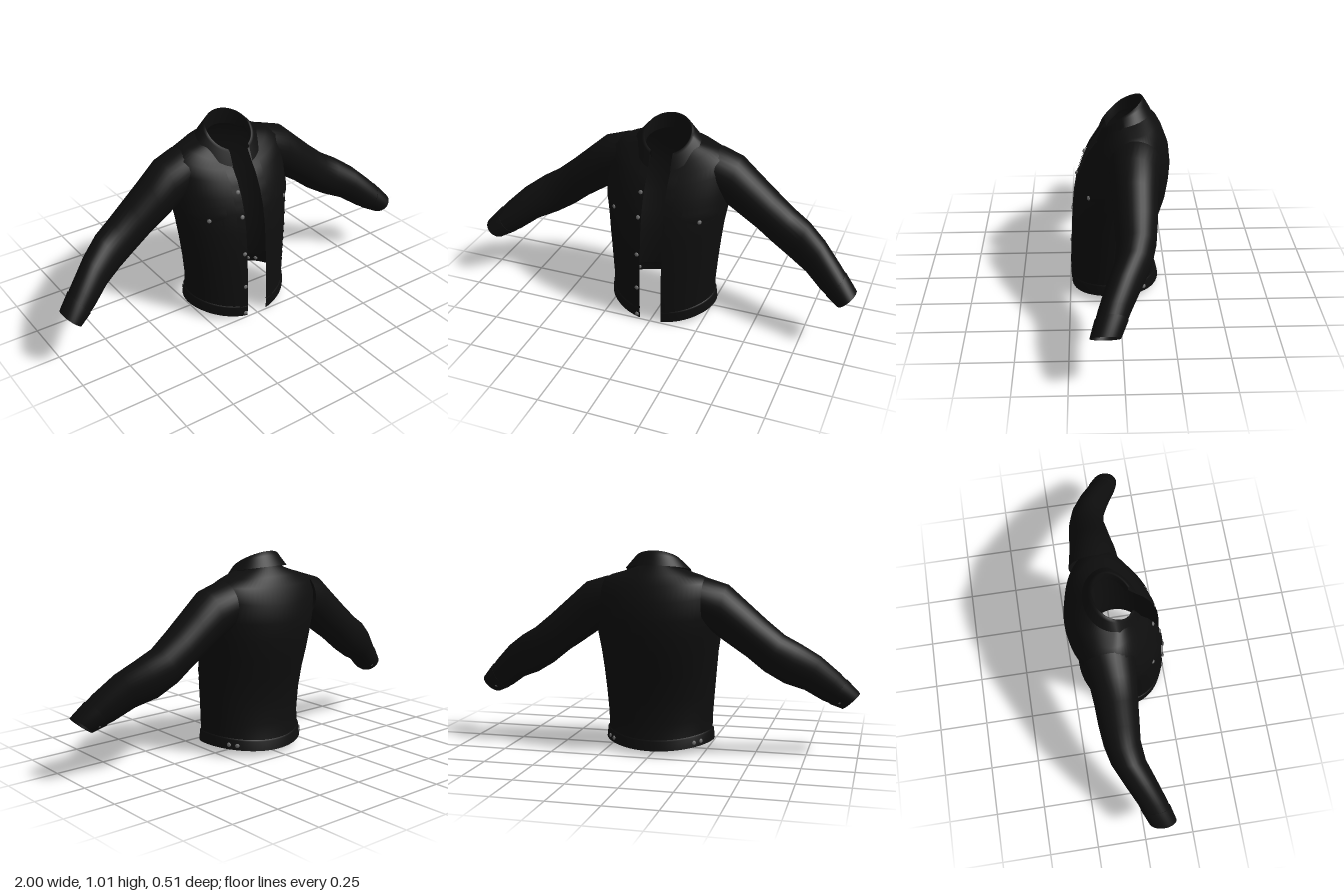
import * as THREE from 'three';
import { mergeVertices } from 'three/addons/utils/BufferGeometryUtils.js';

const fabric = new THREE.MeshStandardMaterial({ color: 0x0e0e0e, side: THREE.DoubleSide });
fabric.name = 'black fabric';
const metal = new THREE.MeshStandardMaterial({ color: 0x6c6c6c });
metal.name = 'grey metal';

const V = (x, y, z) => new THREE.Vector3(x, y, z);
const EDGE = 0.057; // half width of the open front

// Horizontal body rings: y at front, side, back; half width; z at front, back, widest point
const BODY = [
  [0.005, 0.055, 0.03, 0.28, 0.245, -0.205, 0.03],
  [0.06, 0.105, 0.075, 0.275, 0.25, -0.195, 0.03],
  [0.066, 0.11, 0.082, 0.268, 0.247, -0.19, 0.03],
  [0.15, 0.18, 0.16, 0.27, 0.247, -0.176, 0.03],
  [0.28, 0.3, 0.28, 0.28, 0.241, -0.18, 0.025],
  [0.4, 0.41, 0.4, 0.29, 0.235, -0.205, 0.02],
  [0.5, 0.51, 0.5, 0.3, 0.225, -0.235, 0.01],
  [0.6, 0.6, 0.6, 0.315, 0.207, -0.25, 0],
  [0.68, 0.7, 0.68, 0.32, 0.18, -0.255, -0.03],
  [0.75, 0.8, 0.77, 0.315, 0.145, -0.245, -0.055],
  [0.79, 0.862, 0.85, 0.295, 0.115, -0.215, -0.06],
  [0.82, 0.892, 0.9, 0.23, 0.095, -0.19, -0.05],
  [0.84, 0.92, 0.95, 0.13, 0.08, -0.14, -0.02],
];

// Collar rings: inner stand, fold, and the outer fall
const COLLAR = [
  [0.83, 0.9, 0.93, 0.112, 0.07, -0.122, -0.015],
  [0.872, 0.95, 1.008, 0.115, 0.08, -0.112, -0.015],
  [0.877, 0.955, 1.015, 0.12, 0.085, -0.117, -0.015],
  [0.865, 0.948, 0.995, 0.132, 0.093, -0.13, -0.015],
  [0.8, 0.918, 0.945, 0.165, 0.118, -0.158, -0.02],
];

// Sleeve rings: top point x, y; bottom point x, y; centre z; half depth
const SLEEVE = [
  [0.25, 0.885, 0.25, 0.65, -0.07, 0.125],
  [0.36, 0.852, 0.315, 0.598, -0.066, 0.115],
  [0.45, 0.773, 0.385, 0.55, -0.065, 0.106],
  [0.55, 0.685, 0.46, 0.5, -0.065, 0.1],
  [0.64, 0.612, 0.545, 0.432, -0.063, 0.091],
  [0.72, 0.567, 0.64, 0.375, -0.045, 0.085],
  [0.81, 0.505, 0.735, 0.338, -0.002, 0.08],
  [0.9, 0.42, 0.822, 0.28, 0.043, 0.073],
  [0.998, 0.312, 0.916, 0.236, 0.085, 0.066],
];

// Joins rows of points into one smooth sheet
function loft(rows) {
  const n = rows[0].length, index = [];
  for (let j = 0; j < rows.length - 1; j++) {
    for (let i = 0; i < n - 1; i++) {
      const a = j * n + i;
      index.push(a, a + 1, a + n + 1, a, a + n + 1, a + n);
    }
  }
  let geo = new THREE.BufferGeometry().setFromPoints(rows.flat());
  geo.setIndex(index);
  geo = mergeVertices(geo, 1e-5);
  geo.computeVertexNormals();
  return geo;
}

function add(parent, name, geo, material = fabric) {
  const mesh = new THREE.Mesh(geo, material);
  mesh.name = name;
  parent.add(mesh);
  return mesh;
}

// One point of a body ring; angle 0 is the front, power shapes the dip in y
function ringPoint([yF, yS, yB, hw, zF, zB, zC], a, power) {
  const c = Math.cos(a), k = Math.abs(c);
  return V(hw * Math.sin(a),
    yS + ((c > 0 ? yF : yB) - yS) * k ** power,
    zC + (c > 0 ? zF - zC : zC - zB) * c);
}

// Open ring from one front edge round the back to the other
function openRing(row, power, n = 64) {
  const a0 = Math.asin(EDGE / row[3]);
  return Array.from({ length: n + 1 }, (_, i) =>
    ringPoint(row, a0 + (2 * Math.PI - 2 * a0) * i / n, power));
}

// Point on the front of the body at x, y, lifted off the cloth
function onFront(x, y, lift = 0.004) {
  const pts = BODY.filter(r => r[3] > Math.abs(x)).map(r => ringPoint(r, Math.asin(x / r[3]), 2));
  let i = 0;
  while (i < pts.length - 2 && pts[i + 1].y < y) i++;
  const t = (y - pts[i].y) / (pts[i + 1].y - pts[i].y);
  return V(x, y, THREE.MathUtils.lerp(pts[i].z, pts[i + 1].z, t) + lift);
}

// Strip of cloth between two edges, each [x, y] as a function of 0..1
function strip(edgeA, edgeB, n = 16, m = 4) {
  const rows = [];
  for (let j = 0; j <= n; j++) {
    const a = edgeA(j / n), b = edgeB(j / n);
    rows.push(Array.from({ length: m + 1 }, (_, i) =>
      onFront(a[0] + (b[0] - a[0]) * i / m, a[1] + (b[1] - a[1]) * i / m)));
  }
  return loft(rows);
}

const studShape = new THREE.SphereGeometry(0.011, 14, 10);
studShape.scale(1, 1, 0.6);
function stud(parent, name, position, normal) {
  const mesh = add(parent, name, studShape, metal);
  mesh.position.copy(position);
  mesh.quaternion.setFromUnitVectors(V(0, 0, 1), normal.normalize());
}

function sleeveRing([xt, yt, xb, yb, zc, rz], scale = 1, n = 32) {
  const c = V((xt + xb) / 2, (yt + yb) / 2, zc);
  return Array.from({ length: n + 1 }, (_, i) => {
    const a = 2 * Math.PI * i / n, k = Math.cos(a) / 2 * scale;
    return V(c.x + (xt - xb) * k, c.y + (yt - yb) * k, zc + rz * Math.sin(a) * scale);
  });
}

// Everything that appears on both sides
function buildSide(sign) {
  const side = new THREE.Group();
  side.name = sign > 0 ? 'leftSide' : 'rightSide';
  side.scale.x = sign;

  add(side, 'sleeve', loft(SLEEVE.map(r => sleeveRing(r))));

  // Cuff band over the last stretch of the sleeve
  const [p, q] = SLEEVE.slice(-2);
  const start = p.map((v, i) => v + (q[i] - v) * 0.35);
  add(side, 'cuff', loft([sleeveRing(start, 1), sleeveRing(start, 1.05), sleeveRing(q, 1.04), sleeveRing(q, 0.96)]));
  stud(side, 'cuffButton', V(0.902, 0.28, 0.012), V(-0.35, -0.3, -0.85));

  // Front band along the opening
  add(side, 'placket', strip(t => [0.058, 0.07 + 0.73 * t], t => [0.1, 0.07 + 0.73 * t], 30));

  // Pointed chest pocket flap with its button
  add(side, 'pocketFlap', strip(
    t => [0.145 + 0.15 * t, 0.592 - 0.03 * (1 - Math.abs(2 * t - 1))],
    t => [0.145 + 0.15 * t, 0.645]));
  stud(side, 'pocketButton', onFront(0.225, 0.58), V(0.6, 0.1, 0.8));

  // Slanting front seams
  for (const [top, bottom] of [[0.165, 0.13], [0.265, 0.19]]) {
    const x = t => bottom + (top - bottom) * t;
    add(side, 'frontSeam', strip(t => [x(t), 0.11 + 0.47 * t], t => [x(t) + 0.006, 0.11 + 0.47 * t], 16, 1));
  }

  // Waist adjuster buttons towards the back
  for (const a of [2.13, 2.3]) {
    const w = ringPoint(BODY[0], a, 2).lerp(ringPoint(BODY[1], a, 2), 0.45);
    stud(side, 'waistButton', w, V(Math.sin(a), 0, Math.cos(a)));
  }
  return side;
}

export function createModel() {
  const jacket = new THREE.Group();
  jacket.name = 'jacket';

  add(jacket, 'waistband', loft(BODY.slice(0, 3).map(r => openRing(r, 2))));
  add(jacket, 'body', loft(BODY.slice(2).map(r => openRing(r, 2))));
  add(jacket, 'collar', loft(COLLAR.map(r => openRing(r, 1))));
  jacket.add(buildSide(1), buildSide(-1));

  // Front buttons on one edge of the opening
  for (const y of [0.03, 0.19, 0.38, 0.58, 0.7]) {
    stud(jacket, 'frontButton', onFront(-0.072, y, 0.006), V(-0.15, y > 0.5 ? 0.3 : 0, 1));
  }
  return jacket;
}
